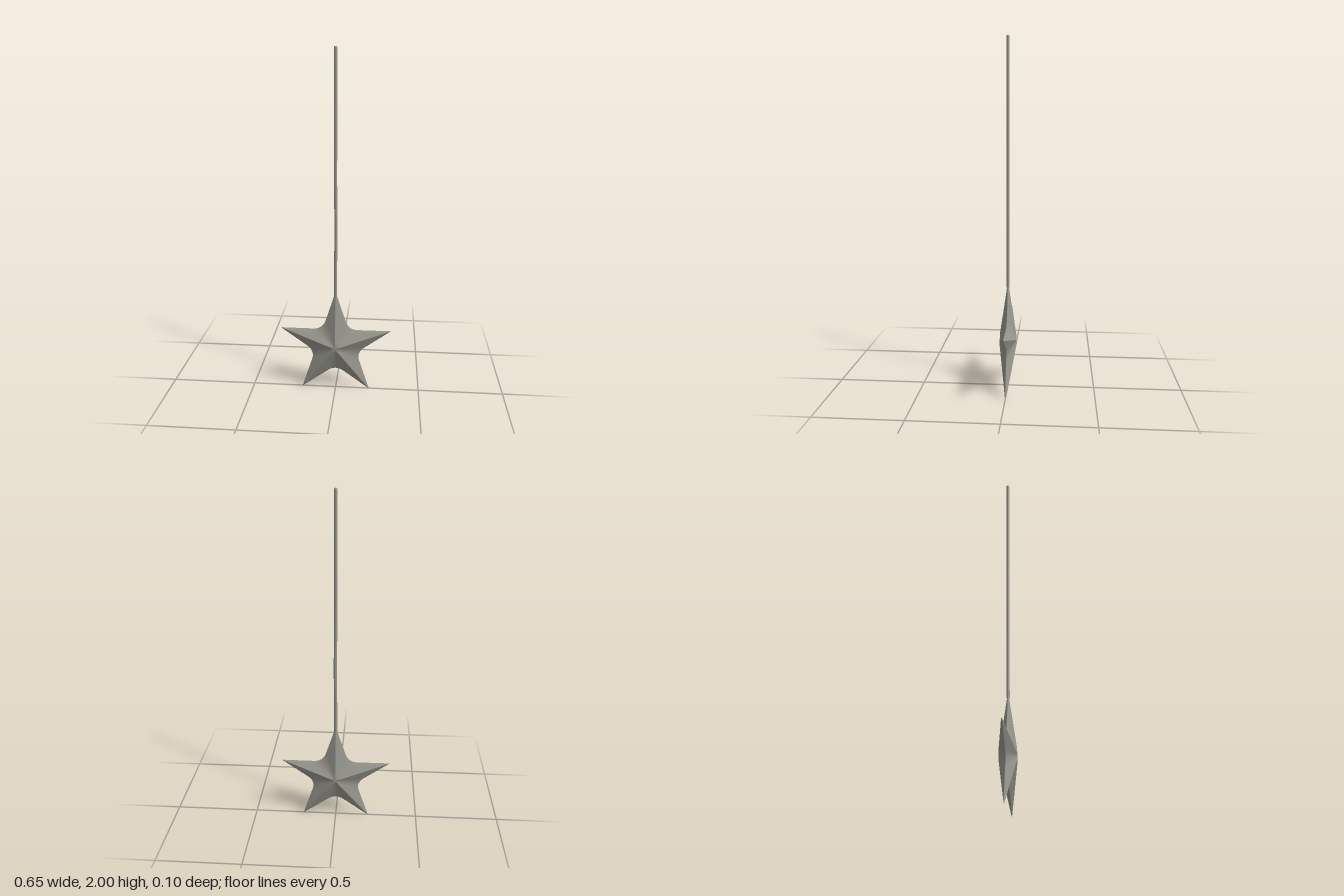
import * as THREE from 'three';
import { mergeVertices } from 'three/addons/utils/BufferGeometryUtils.js';

const CENTRE_Y = 0.277, TIP_R = 0.345, NOTCH_R = 0.131;

// Five-pointed outline, counter-clockwise, with rounded tips and notches
function starOutline() {
  const corner = i => {
    const a = Math.PI / 2 + (i * Math.PI) / 5;
    const r = i % 2 ? NOTCH_R : TIP_R;
    return new THREE.Vector2(Math.cos(a) * r, Math.sin(a) * r);
  };
  const pts = [];
  for (let i = 0; i < 10; i++) {
    const c = corner(i), f = i % 2 ? 0.23 : 0.03;
    const before = c.clone().lerp(corner(i + 9), f);
    const after = c.clone().lerp(corner(i + 1), f);
    pts.push(...new THREE.QuadraticBezierCurve(before, c, after).getPoints(6));
    // points along the straight side to the next corner
    const next = corner(i + 1).lerp(c, i % 2 ? 0.03 : 0.23);
    for (let k = 1; k < 6; k++) pts.push(after.clone().lerp(next, k / 6));
  }
  return pts;
}

// Scaled outlines from the front centre, over the rim, to the back centre
function starGeometry() {
  const outline = starOutline(), n = outline.length;
  const front = [[0, 0.0485], [0.06, 0.048], [0.13, 0.0463], [0.22, 0.0415], [0.4, 0.0322],
    [0.6, 0.0219], [0.8, 0.0116], [0.97, 0.003]];
  const profile = [...front, [1, 0], ...front.map(([t, z]) => [t, -z]).reverse()];
  const pos = [], index = [];
  for (const [t, z] of profile) for (const p of outline) pos.push(p.x * t, p.y * t, z);
  for (let k = 0; k < profile.length - 1; k++) {
    for (let j = 0; j < n; j++) {
      const a = k * n + j, b = k * n + ((j + 1) % n);
      if (k < profile.length - 2) index.push(a, a + n, b + n);
      if (k > 0) index.push(a, b + n, b);
    }
  }
  let g = new THREE.BufferGeometry();
  g.setAttribute('position', new THREE.Float32BufferAttribute(pos, 3));
  g.setIndex(index);
  g = mergeVertices(g, 1e-5);
  g.computeVertexNormals();
  return g;
}

// Thin rod with a bevelled top and a very slight bow
function rodGeometry() {
  const pts = [new THREE.Vector2(0.009, 0.59)];
  for (let i = 1; i <= 20; i++) pts.push(new THREE.Vector2(0.009, 0.59 + i * 0.07));
  pts.push(new THREE.Vector2(0.009, 1.997), new THREE.Vector2(0.006, 2), new THREE.Vector2(0, 2));
  const g = new THREE.LatheGeometry(pts, 16);
  const p = g.attributes.position;
  for (let i = 0; i < p.count; i++) {
    p.setX(i, p.getX(i) + 0.003 * Math.exp(-(((p.getY(i) - 1) / 0.13) ** 2)));
  }
  return g;
}

export function createModel() {
  const metal = new THREE.MeshStandardMaterial({ color: 0x99988f });
  metal.name = 'warm grey metal';
  const group = new THREE.Group();
  group.name = 'hangingStar';

  const star = new THREE.Mesh(starGeometry(), metal);
  star.name = 'star';
  star.position.y = CENTRE_Y;

  const rod = new THREE.Mesh(rodGeometry(), metal);
  rod.name = 'rod';

  group.add(star, rod);
  return group;
}
